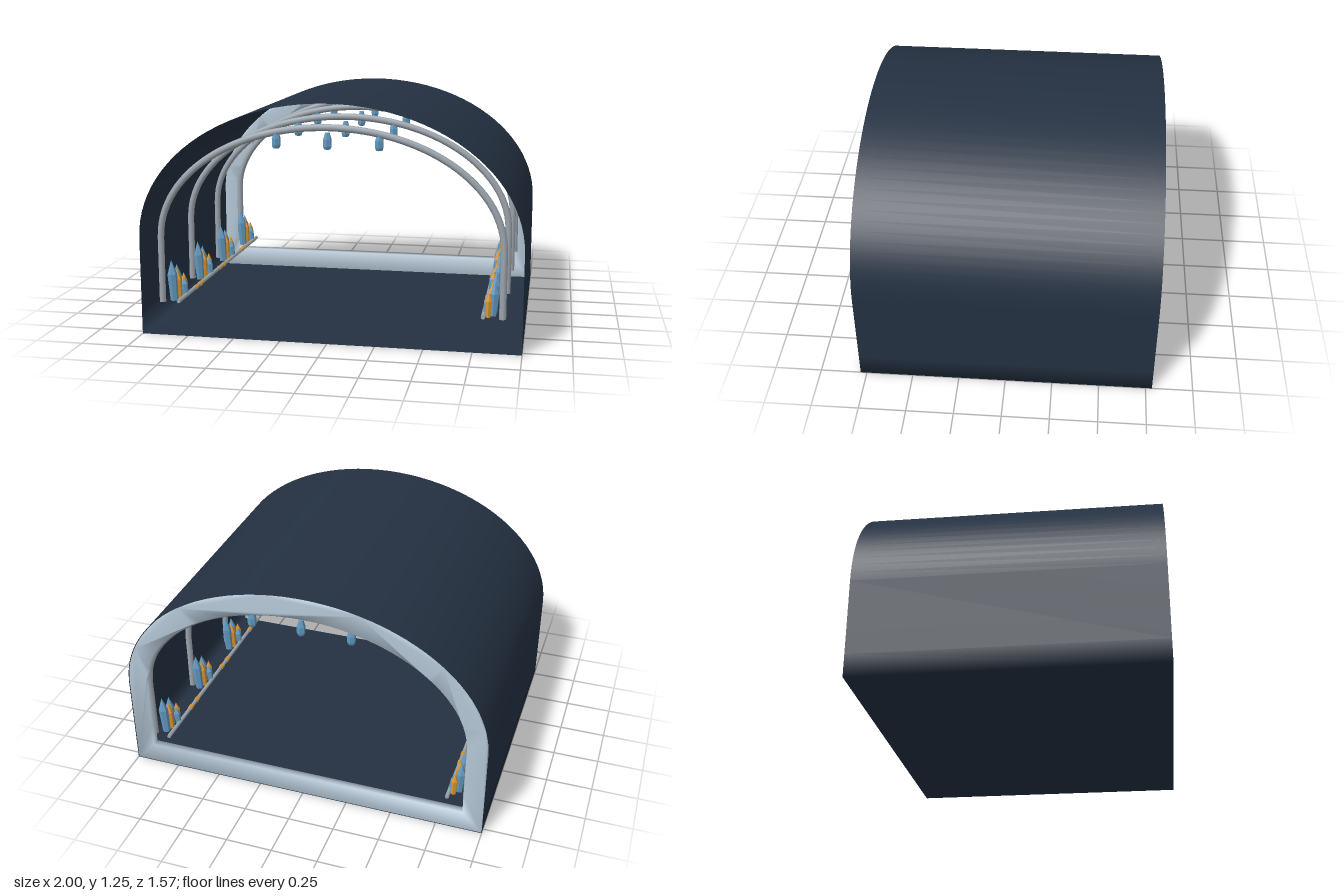
import * as THREE from 'three';
import { mergeVertices } from 'three/addons/utils/BufferGeometryUtils.js';

const HALF = 0.784; // half length of the tunnel

function mat(name, color, extra = {}) {
  const m = new THREE.MeshStandardMaterial({ color, ...extra });
  m.name = name;
  return m;
}

// Closed outline: flat floor, straight walls, elliptical vault
function archPoints(halfWidth, floor, spring, top, segments = 48) {
  const pts = [[-halfWidth, floor], [halfWidth, floor], [halfWidth, floor + 0.12]];
  for (let i = 0; i <= segments; i++) {
    const a = (i / segments) * Math.PI;
    pts.push([halfWidth * Math.cos(a), spring + (top - spring) * Math.sin(a)]);
  }
  pts.push([-halfWidth, floor + 0.12]);
  return pts.map(([x, y]) => new THREE.Vector2(x, y));
}

// Thin tube of the arch section, open at both ends
function shellGeometry() {
  const pts = archPoints(1, 0, 0.52, 1.245);
  const pos = [], idx = [], n = pts.length;
  for (const z of [-HALF, HALF]) for (const p of pts) pos.push(p.x, p.y, z);
  for (let i = 0; i < n; i++) {
    const j = (i + 1) % n;
    idx.push(i, j, n + j, i, n + j, n + i);
  }
  const g = new THREE.BufferGeometry();
  g.setAttribute('position', new THREE.Float32BufferAttribute(pos, 3));
  g.setIndex(idx);
  g.computeVertexNormals();
  return g;
}

// Arch-shaped frame with softly shaded edges
function frameGeometry() {
  const shape = new THREE.Shape(archPoints(0.996, 0.004, 0.52, 1.241));
  shape.holes.push(new THREE.Path(archPoints(0.89, 0.115, 0.52, 1.13)));
  let g = new THREE.ExtrudeGeometry(shape, { depth: 0.04, bevelEnabled: false });
  g.deleteAttribute('normal');
  g.deleteAttribute('uv');
  g = mergeVertices(g, 1e-4);
  g.computeVertexNormals();
  return g;
}

// Support hoop following the vault
function hoopGeometry() {
  const pts = [];
  for (let y = 0.17; y < 0.5; y += 0.11) pts.push(new THREE.Vector3(0.897, y, 0));
  for (let i = 0; i <= 24; i++) {
    const a = (i / 24) * Math.PI;
    pts.push(new THREE.Vector3(0.897 * Math.cos(a), 0.52 + 0.6 * Math.sin(a), 0));
  }
  for (let y = 0.5; y > 0.16; y -= 0.11) pts.push(new THREE.Vector3(-0.897, y, 0));
  return new THREE.TubeGeometry(new THREE.CatmullRomCurve3(pts), 80, 0.018, 8);
}

// Six-sided pointed crystal standing on y = 0
function crystalGeometry(r, h) {
  const profile = [[0, 0], [r * 0.8, 0], [r, h * 0.65], [0, h]];
  return new THREE.LatheGeometry(profile.map(p => new THREE.Vector2(...p)), 6);
}

export function createModel() {
  const model = new THREE.Group();
  model.name = 'tunnel';
  const dark = mat('dark navy', 0x243142, { side: THREE.DoubleSide });
  const pale = mat('pale steel', 0xb4c7d6, { side: THREE.DoubleSide });
  const grey = mat('grey metal', 0x9ca5ad, { side: THREE.DoubleSide });
  const blue = mat('crystal blue', 0x6399c0, { flatShading: true });
  const amber = mat('amber', 0xdc962f, { flatShading: true });

  const add = (parent, name, geo, material, x = 0, y = 0, z = 0) => {
    const m = new THREE.Mesh(geo, material);
    m.name = name;
    m.position.set(x, y, z);
    parent.add(m);
    return m;
  };

  add(model, 'shell', shellGeometry(), dark);
  add(model, 'backFrame', frameGeometry(), pale, 0, 0, -HALF);

  // Hoops, each with three hanging lamps
  const hoop = hoopGeometry();
  const lamp = new THREE.LatheGeometry(
    [[0, 0], [0.017, 0], [0.023, 0.015], [0.023, 0.05], [0.012, 0.085], [0, 0.085]]
      .map(p => new THREE.Vector2(...p)), 6);
  for (const z of [-0.74, -0.25, 0.25, 0.74]) {
    add(model, 'hoop', hoop, grey, 0, 0, z);
    for (const x of [-0.265, 0, 0.265]) add(model, 'lamp', lamp, blue, x, 1.01, z);
  }

  // Crystals of a cluster: x, z, radius, height, lean, material
  const crystals = [
    [-0.845, 0.045, 0.026, 0.22, 0.06, blue],
    [-0.832, 0.01, 0.022, 0.165, 0.05, amber],
    [-0.845, -0.025, 0.024, 0.18, 0.05, blue],
    [-0.822, -0.055, 0.018, 0.13, 0.03, amber],
    [-0.808, -0.035, 0.018, 0.11, 0.1, blue],
  ];

  // One wall's rail and clusters; the other wall is a half turn of it
  for (const [name, turn] of [['rightWall', 0], ['leftWall', Math.PI]]) {
    const wall = new THREE.Group();
    wall.name = name;
    wall.rotation.y = turn;
    model.add(wall);
    const rail = new THREE.CylinderGeometry(0.011, 0.011, 1.54, 8);
    add(wall, 'rail', rail, grey, -0.8, 0.183).rotation.x = Math.PI / 2;
    const bead = new THREE.CylinderGeometry(0.014, 0.014, 0.03, 6);
    for (const z of [-0.44, 0, 0.44]) {
      for (const d of [-0.04, 0.04])
        add(wall, 'railBead', bead, amber, -0.8, 0.183, z + d).rotation.x = Math.PI / 2;
    }
    for (const z of [-0.66, -0.22, 0.22, 0.66]) {
      const cluster = new THREE.Group();
      cluster.name = 'crystalCluster';
      cluster.position.z = z;
      wall.add(cluster);
      for (const [x, dz, r, h, lean, m] of crystals)
        add(cluster, 'crystal', crystalGeometry(r, h), m, x, 0.17, dz).rotation.z = lean;
    }
  }
  return model;
}
